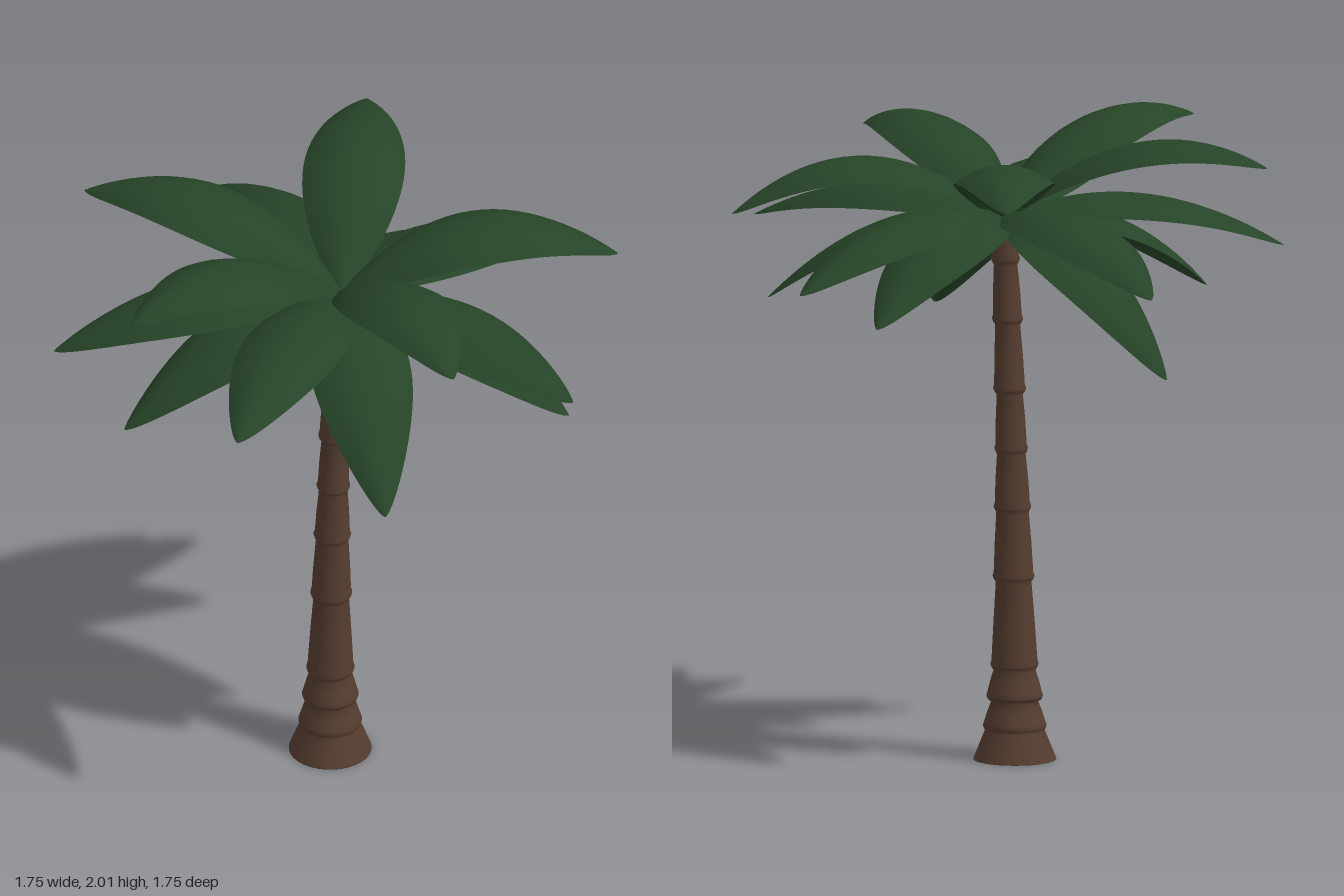
import * as THREE from 'three';

const bark = new THREE.MeshStandardMaterial({ color: 0x553d2f });
bark.name = 'bark brown';
const leaf = new THREE.MeshStandardMaterial({ color: 0x264427, side: THREE.DoubleSide });
leaf.name = 'leaf green';

const HUB = new THREE.Vector3(0, 1.72, 0.02);

// Ringed trunk: a lathe whose profile steps out at each ring, then leans
function createTrunk() {
  // ring height, ring radius, radius just under the next ring
  const rings = [
    [0.11, 0.1, 0.074], [0.205, 0.089, 0.066], [0.305, 0.076, 0.056], [0.585, 0.066, 0.051],
    [0.805, 0.059, 0.045], [0.99, 0.053, 0.041], [1.18, 0.052, 0.039], [1.4, 0.049, 0.037], [1.59, 0.046, 0.036],
  ];
  const points = [[0, 0], [0.13, 0], [0.13, 0.002], [0.113, 0.045], [0.094, 0.092]];
  rings.forEach(([y, r, under], i) => {
    const next = i + 1 < rings.length ? rings[i + 1][0] : 1.7;
    points.push([r - 0.003, y - 0.011], [r, y - 0.002], [r - 0.004, y + 0.01]);
    points.push([r * 0.45 + under * 0.55, y + (next - y) * 0.45], [under, next - 0.022]);
  });
  points.push([0.03, 1.7], [0, 1.705]);
  const geometry = new THREE.LatheGeometry(points.map(([r, y]) => new THREE.Vector2(r, y)), 32);
  const p = geometry.attributes.position;
  for (let i = 0; i < p.count; i++) {
    const lean = -0.045 * (1 - Math.min(1, p.getY(i) / 1.65) ** 2);
    p.setX(i, p.getX(i) + lean);
    p.setZ(i, p.getZ(i) + 0.03);
  }
  const mesh = new THREE.Mesh(geometry, bark);
  mesh.name = 'trunk';
  return mesh;
}

// Frond: a sheet bent along a rising and falling arc, its sides arched down
function createFrond(tipX, tipY, tipZ, rise) {
  const geometry = new THREE.PlaneGeometry(1, 1, 10, 28);
  const p = geometry.attributes.position;
  const reach = Math.hypot(tipX - HUB.x, tipZ - HUB.z);
  const forward = new THREE.Vector3(tipX - HUB.x, 0, tipZ - HUB.z).normalize();
  const up = new THREE.Vector3(0, 1, 0);
  const side = new THREE.Vector3().crossVectors(forward, up);
  const fall = rise - (tipY - HUB.y);
  const v = new THREE.Vector3();
  const normal = new THREE.Vector3();
  for (let i = 0; i < p.count; i++) {
    const s = p.getX(i) * 2;
    const t = Math.sin((p.getY(i) + 0.5) * Math.PI / 2);
    const outline = Math.max(0.002, Math.sin(Math.PI * t ** 0.9)) ** 0.72;
    const slope = (rise - 2 * fall * t) / reach;
    normal.copy(up).addScaledVector(forward, -slope).normalize();
    v.copy(HUB).addScaledVector(forward, reach * t);
    v.y += rise * t - fall * t * t;
    v.addScaledVector(side, s * 0.16 * outline);
    v.addScaledVector(normal, -0.06 * s * s * outline);
    p.setXYZ(i, v.x, v.y, v.z);
  }
  geometry.computeVertexNormals();
  return new THREE.Mesh(geometry, leaf);
}

// Tip x, y, z and rise of every frond, in three tiers of five
const tiers = {
  upperFrond: [
    [0, 1.945, 0.87, 0.84], [0.82, 1.89, 0.24, 0.81], [0.44, 1.77, -0.74, 0.8],
    [-0.62, 1.88, -0.59, 0.81], [-0.735, 1.91, 0.46, 0.82],
  ],
  middleFrond: [
    [0, 1.58, -0.88, 0.31], [0.875, 1.65, -0.2, 0.35], [0.46, 1.71, 0.82, 0.43],
    [-0.46, 1.59, 0.81, 0.34], [-0.875, 1.59, -0.2, 0.34],
  ],
  lowerFrond: [
    [0.66, 1.43, -0.36, 0.2], [0.63, 1.33, 0.36, 0.14], [-0.16, 1.43, 0.77, 0.2],
    [-0.685, 1.28, 0.06, 0.11], [-0.2, 1.48, -0.74, 0.24],
  ],
};

export function createModel() {
  const model = new THREE.Group();
  model.name = 'palmTree';
  model.add(createTrunk());
  const crown = new THREE.Group();
  crown.name = 'crown';
  for (const [name, tips] of Object.entries(tiers)) {
    for (const tip of tips) {
      const frond = createFrond(...tip);
      frond.name = name;
      crown.add(frond);
    }
  }
  model.add(crown);
  return model;
}
